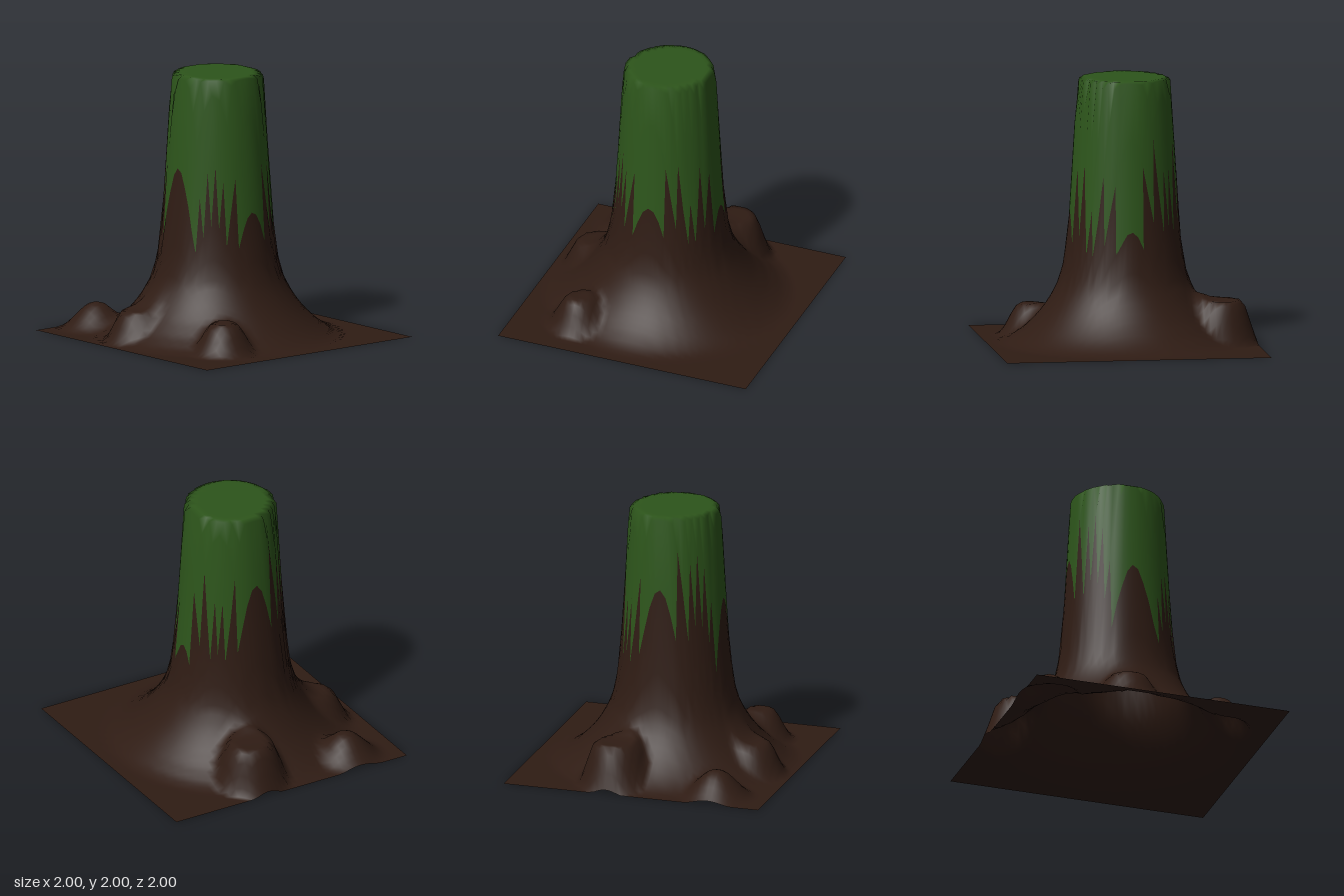
import * as THREE from 'three';

const N = 48; // grid cells per side

// Trunk and flare: distance from the trunk axis -> height
const PROFILE = [
  [0, 2], [0.31, 2], [0.345, 1.975], [0.36, 1.72], [0.39, 1.15], [0.42, 0.74], [0.465, 0.5],
  [0.52, 0.38], [0.57, 0.295], [0.64, 0.2], [0.74, 0.1], [0.84, 0.03], [0.92, 0], [3, 0],
];

// Root knolls: centre x, z, height, radius of the flat top, outer radius
const KNOLLS = [
  [-0.73, -0.2, 0.33, 0.15, 0.3],
  [-0.77, 0.6, 0.2, 0.02, 0.3],
  [-0.17, 0.68, 0.24, 0.12, 0.28],
  [0.6, 0.5, 0.235, 0.08, 0.26],
];

function profileHeight(r) {
  const i = PROFILE.findIndex(([d]) => d > r);
  const [r0, h0] = PROFILE[i - 1], [r1, h1] = PROFILE[i];
  return h0 + (h1 - h0) * (r - r0) / (r1 - r0);
}

// Soft maximum of the trunk and the knolls
function heightAt(x, z) {
  let sum = profileHeight(Math.hypot((x + 0.035) / 1.02, z - 0.035)) ** 4;
  for (const [cx, cz, h, inner, outer] of KNOLLS) {
    const d = Math.hypot(x - cx, z - cz);
    sum += (h * (1 - THREE.MathUtils.smoothstep(d, inner, outer))) ** 4;
  }
  return sum ** 0.25;
}

export function createModel() {
  const group = new THREE.Group();

  // One height field; both coloured parts share its points and smooth normals
  const field = new THREE.PlaneGeometry(2, 2, N, N).rotateX(-Math.PI / 2);
  const pos = field.attributes.position;
  for (let i = 0; i < pos.count; i++) pos.setY(i, heightAt(pos.getX(i), pos.getZ(i)));
  field.computeVertexNormals();

  // Sort the cells: mossy near the trunk axis, earth elsewhere
  const moss = [], earth = [];
  for (let row = 0; row < N; row++) {
    for (let col = 0; col < N; col++) {
      const x = (col + 0.5) * 2 / N - 1, z = (row + 0.5) * 2 / N - 1;
      const part = Math.hypot(x + 0.022, z - 0.035) < 0.4 ? moss : earth;
      const a = row * (N + 1) + col, b = a + N + 1;
      part.push(a, b, a + 1, b, b + 1, a + 1);
    }
  }

  const addPart = (name, index, color) => {
    const geometry = new THREE.BufferGeometry();
    geometry.setAttribute('position', pos);
    geometry.setAttribute('normal', field.attributes.normal);
    geometry.setIndex(index);
    const material = new THREE.MeshStandardMaterial({ color, side: THREE.DoubleSide });
    const mesh = new THREE.Mesh(geometry, material);
    mesh.name = name;
    group.add(mesh);
  };
  addPart('mossyTop', moss, 0x2d551b);
  addPart('earthBase', earth, 0x2f1c14);

  return group;
}
